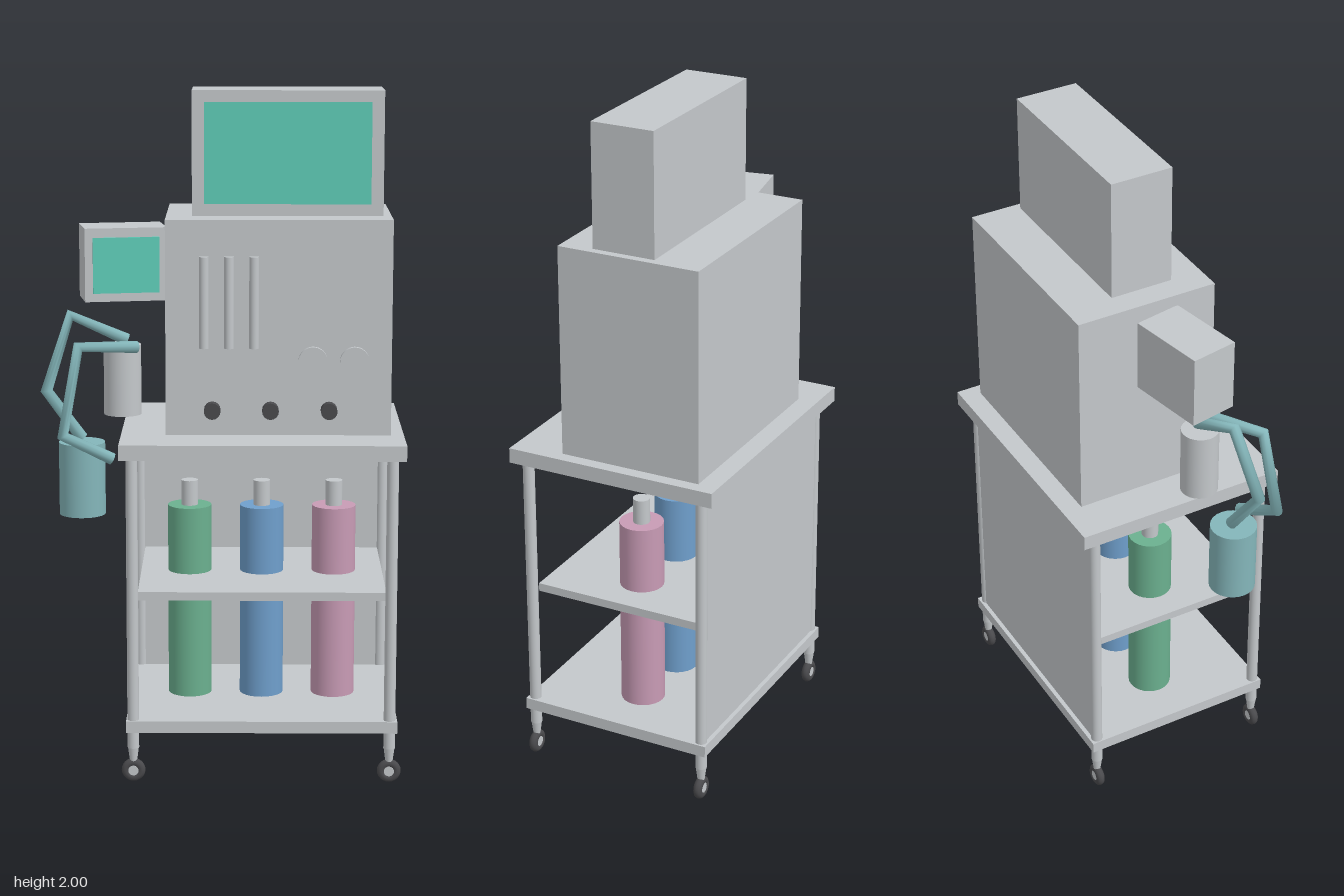
import * as THREE from 'three';

const paint = (name, color, extra = {}) => {
  const m = new THREE.MeshStandardMaterial({ color, ...extra });
  m.name = name;
  return m;
};

export function createModel() {
  const root = new THREE.Group();
  root.name = 'medicalCart';
  const grey = paint('grey metal', 0xc4c8cb);
  const dark = paint('dark rubber', 0x4a4a4d);
  const screenGreen = paint('screen green', 0x5fcdb8);
  const teal = paint('hose teal', 0x84b6ba, { side: THREE.DoubleSide });
  const green = paint('bottle green', 0x6bb08f);
  const blue = paint('bottle blue', 0x6f9fcc);
  const pink = paint('bottle pink', 0xc89bb5);

  const add = (name, geometry, material, pos = [0, 0, 0], parent = root) => {
    const mesh = new THREE.Mesh(geometry, material);
    mesh.name = name;
    mesh.position.set(...pos);
    parent.add(mesh);
    return mesh;
  };
  // Box given by its extents on each axis
  const box = (name, [x0, x1], [y0, y1], [z0, z1], material, parent = root) =>
    add(name, new THREE.BoxGeometry(x1 - x0, y1 - y0, z1 - z0), material,
      [(x0 + x1) / 2, (y0 + y1) / 2, (z0 + z1) / 2], parent);
  // Upright cylinder between two heights
  const post = (name, x, z, y0, y1, rTop, rBottom, material, parent = root) =>
    add(name, new THREE.CylinderGeometry(rTop, rBottom, y1 - y0, 24), material,
      [x, (y0 + y1) / 2, z], parent);
  // Disc pointing forward
  const dial = (name, x, y, z0, z1, r, material, sides = 32, parent = root) => {
    const mesh = add(name, new THREE.CylinderGeometry(r, r, z1 - z0, sides), material,
      [x, y, (z0 + z1) / 2], parent);
    mesh.rotation.x = Math.PI / 2;
    return mesh;
  };

  // Cart frame
  box('tableTop', [-0.295, 0.525], [0.97, 1.015], [-0.325, 0.32], grey);
  box('middleShelf', [-0.245, 0.475], [0.545, 0.57], [-0.265, 0.265], grey);
  box('bottomShelf', [-0.28, 0.51], [0.155, 0.19], [-0.298, 0.3], grey);
  box('backPanel', [-0.25, 0.48], [0.19, 0.97], [-0.285, -0.265], grey);

  // Legs and casters
  for (const x of [-0.26, 0.488]) {
    for (const z of [-0.275, 0.28]) {
      post('leg', x, z, 0.19, 0.97, 0.017, 0.017, grey);
      const caster = new THREE.Group();
      caster.name = 'caster';
      caster.position.set(x, 0, z);
      root.add(caster);
      post('casterStem', 0, 0, 0.105, 0.155, 0.017, 0.017, grey, caster);
      post('casterFork', 0, 0, 0.06, 0.105, 0.016, 0.01, grey, caster);
      add('tyre', new THREE.TorusGeometry(0.022, 0.013, 10, 24), dark, [0, 0.036, 0], caster);
      dial('hub', 0, 0.036, -0.011, 0.011, 0.015, grey, 20, caster);
    }
  }

  // Gas bottles
  [[-0.1, green], [0.115, blue], [0.33, pink]].forEach(([x, material]) => {
    post('gasBottle', x, 0, 0.19, 0.77, 0.065, 0.065, material);
    post('bottleNeck', x, 0, 0.77, 0.845, 0.025, 0.025, grey);
  });

  // Main cabinet and monitor
  box('cabinet', [-0.165, 0.487], [1.015, 1.64], [-0.265, 0.167], grey);
  box('monitor', [-0.09, 0.463], [1.64, 2.0], [-0.12, 0.07], grey);
  box('monitorScreen', [-0.055, 0.427], [1.675, 1.967], [0.069, 0.077], screenGreen);

  // Front controls
  for (const x of [-0.054, 0.018, 0.09]) post('flowTube', x, 0.173, 1.27, 1.535, 0.014, 0.014, grey);
  for (const x of [0.26, 0.38]) dial('gauge', x, 1.233, 0.165, 0.182, 0.042, grey);
  for (const x of [-0.03, 0.138, 0.307]) dial('knob', x, 1.09, 0.165, 0.2, 0.024, dark, 16);

  // Angled side display
  const display = new THREE.Group();
  display.name = 'sideDisplay';
  display.position.set(-0.294, 1.498, -0.001);
  display.rotation.y = 0.18;
  root.add(display);
  box('displayCase', [-0.12, 0.12], [-0.107, 0.107], [-0.072, 0.072], grey, display);
  box('displayScreen', [-0.097, 0.097], [-0.082, 0.08], [0.071, 0.078], screenGreen, display);

  // Absorber canister and breathing reservoir
  post('absorberCanister', -0.295, 0.05, 1.055, 1.262, 0.055, 0.055, grey);
  post('reservoir', -0.413, 0.097, 0.765, 0.98, 0.068, 0.068, teal);

  // Breathing hoses with sharp elbows at every path point
  const hose = (points) => {
    const curve = new THREE.CatmullRomCurve3(points.map((p) => new THREE.Vector3(...p)));
    curve.getUtoTmapping = (u) => u;
    add('breathingHose', new THREE.TubeGeometry(curve, points.length - 1, 0.018, 10), teal);
  };
  hose([[-0.25, 1.262, 0.1], [-0.415, 1.275, 0.185], [-0.46, 1.02, 0.212], [-0.32, 0.945, 0.175]]);
  hose([[-0.28, 1.275, 0.05], [-0.445, 1.35, 0.07], [-0.513, 1.135, 0.115], [-0.413, 0.99, 0.09]]);

  return root;
}
